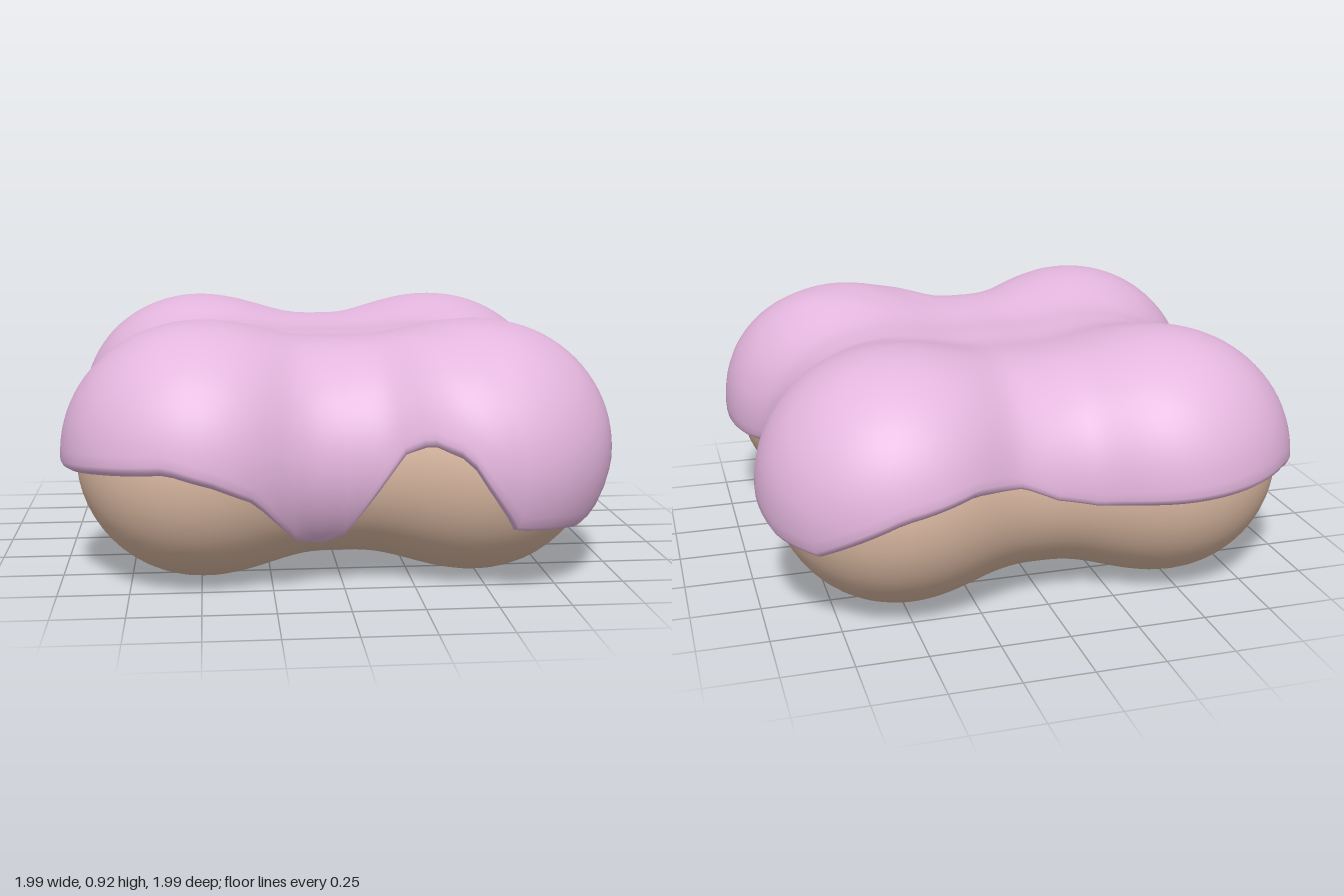
import * as THREE from 'three';
import { mergeVertices } from 'three/addons/utils/BufferGeometryUtils.js';

const C = 0.502, E = 0.255, R = 0.45, MID = 0.453; // lobe centre, blend, lobe radius, middle height
const COLS = 192;

// Lower edge of the icing: [degrees around from the front towards +x, height]
const RIM = [
  [-180, 0.45], [-170, 0.42], [-155, 0.44], [-135, 0.47], [-122, 0.43], [-114, 0.34], [-106, 0.4],
  [-95, 0.52], [-80, 0.51], [-62, 0.42], [-45, 0.455], [-33, 0.475], [-26, 0.43], [-20, 0.37],
  [-13, 0.2], [-6.6, 0.175], [0, 0.21], [6.7, 0.36], [13, 0.51], [18, 0.545], [23.5, 0.5], [27, 0.39],
  [32, 0.265], [45, 0.245], [48, 0.27], [52, 0.38], [57, 0.46], [64, 0.39], [71.5, 0.38], [83, 0.4],
  [90, 0.44], [100, 0.5], [106, 0.53], [111, 0.515], [118, 0.42], [126, 0.36], [135, 0.345],
  [149, 0.48], [160, 0.53], [171, 0.51], [180, 0.45],
];

function rimHeight(angle) {
  let deg = THREE.MathUtils.radToDeg(angle);
  if (deg > 180) deg -= 360;
  let i = 0;
  while (i < RIM.length - 2 && RIM[i + 1][0] < deg) i++;
  const [a, ya] = RIM[i], [b, yb] = RIM[i + 1];
  return THREE.MathUtils.mapLinear(deg, a, b, ya, yb);
}

// Distance-like field of four blended lobes, drawn in at the waists and filled in the middle
const soft = (v) => Math.cbrt(Math.abs(v) ** 3 + E ** 3);
const centre = (v) => C - 0.039 * Math.exp(-((v / 0.36) ** 2));
const radius = (x, z) => R + 0.015 * Math.exp(-(x * x + z * z) / 0.0625);
const field = (x, y, z) => Math.hypot(soft(x) - centre(z), y, soft(z) - centre(x)) - radius(x, z);

// Point on the surface in a direction, moved out along the normal
function lobePoint(angle, polar, offset = 0) {
  const dir = new THREE.Vector3(
    Math.sin(polar) * Math.sin(angle), Math.cos(polar), Math.sin(polar) * Math.cos(angle));
  let lo = 0, hi = 2;
  for (let k = 0; k < 24; k++) {
    const m = (lo + hi) / 2;
    if (field(dir.x * m, dir.y * m, dir.z * m) < 0) lo = m; else hi = m;
  }
  const { x, y, z } = dir.multiplyScalar(lo);
  const h = 0.001;
  const normal = new THREE.Vector3(
    field(x + h, y, z) - field(x - h, y, z),
    field(x, y + h, z) - field(x, y - h, z),
    field(x, y, z + h) - field(x, y, z - h)).normalize();
  return new THREE.Vector3(x, y + MID, z).addScaledVector(normal, offset);
}

// Closed rings of points from top to bottom, joined into a smooth skin
function ringSkin(rows, pointAt) {
  const pos = [], index = [];
  for (let j = 0; j <= rows; j++) {
    for (let i = 0; i < COLS; i++) pos.push(...pointAt(i, j).toArray());
  }
  for (let j = 0; j < rows; j++) {
    for (let i = 0; i < COLS; i++) {
      const a = j * COLS + i, b = j * COLS + (i + 1) % COLS;
      index.push(a, a + COLS, b, b, a + COLS, b + COLS);
    }
  }
  let g = new THREE.BufferGeometry();
  g.setAttribute('position', new THREE.Float32BufferAttribute(pos, 3));
  g.setIndex(index);
  g = mergeVertices(g, 1e-5);
  g.computeVertexNormals();
  return g;
}

function createDough() {
  const rows = 80;
  return ringSkin(rows, (i, j) => lobePoint(i / COLS * Math.PI * 2, j / rows * Math.PI));
}

function createIcing() {
  const rows = 56;
  // Per column: where the icing ends and how thick its edge is
  const columns = Array.from({ length: COLS }, (_, i) => {
    const angle = i / COLS * Math.PI * 2, target = rimHeight(angle);
    let lo = 0.6, hi = 2.6;
    for (let k = 0; k < 20; k++) {
      const m = (lo + hi) / 2;
      if (lobePoint(angle, m).y > target) lo = m; else hi = m;
    }
    const onLobe = THREE.MathUtils.smoothstep(Math.abs(Math.sin(2 * angle)), 0.3, 0.8);
    return { angle, end: lo - 0.02, edge: 0.022 + 0.033 * onLobe };
  });
  // Rounded lip tucked back into the dough: [extra polar angle, share of edge thickness]
  const lip = [[0.015, 0.85], [0.025, 0.55], [0.015, 0.1], [0, -0.3]];
  return ringSkin(rows + lip.length, (i, j) => {
    const { angle, end, edge } = columns[i];
    if (j > rows) {
      const [extra, share] = lip[j - rows - 1];
      return lobePoint(angle, end + extra, edge * share);
    }
    const t = j / rows;
    const swell = THREE.MathUtils.smoothstep(t, 0.5, 0.95);
    return lobePoint(angle, end * t, THREE.MathUtils.lerp(0.014, edge, swell));
  });
}

export function createModel() {
  const group = new THREE.Group();
  const add = (name, geometry, color) => {
    const mesh = new THREE.Mesh(geometry, new THREE.MeshStandardMaterial({ color }));
    mesh.name = name;
    group.add(mesh);
  };
  add('dough', createDough(), 0xdcbaa3);
  add('icing', createIcing(), 0xe4b6de);
  return group;
}
